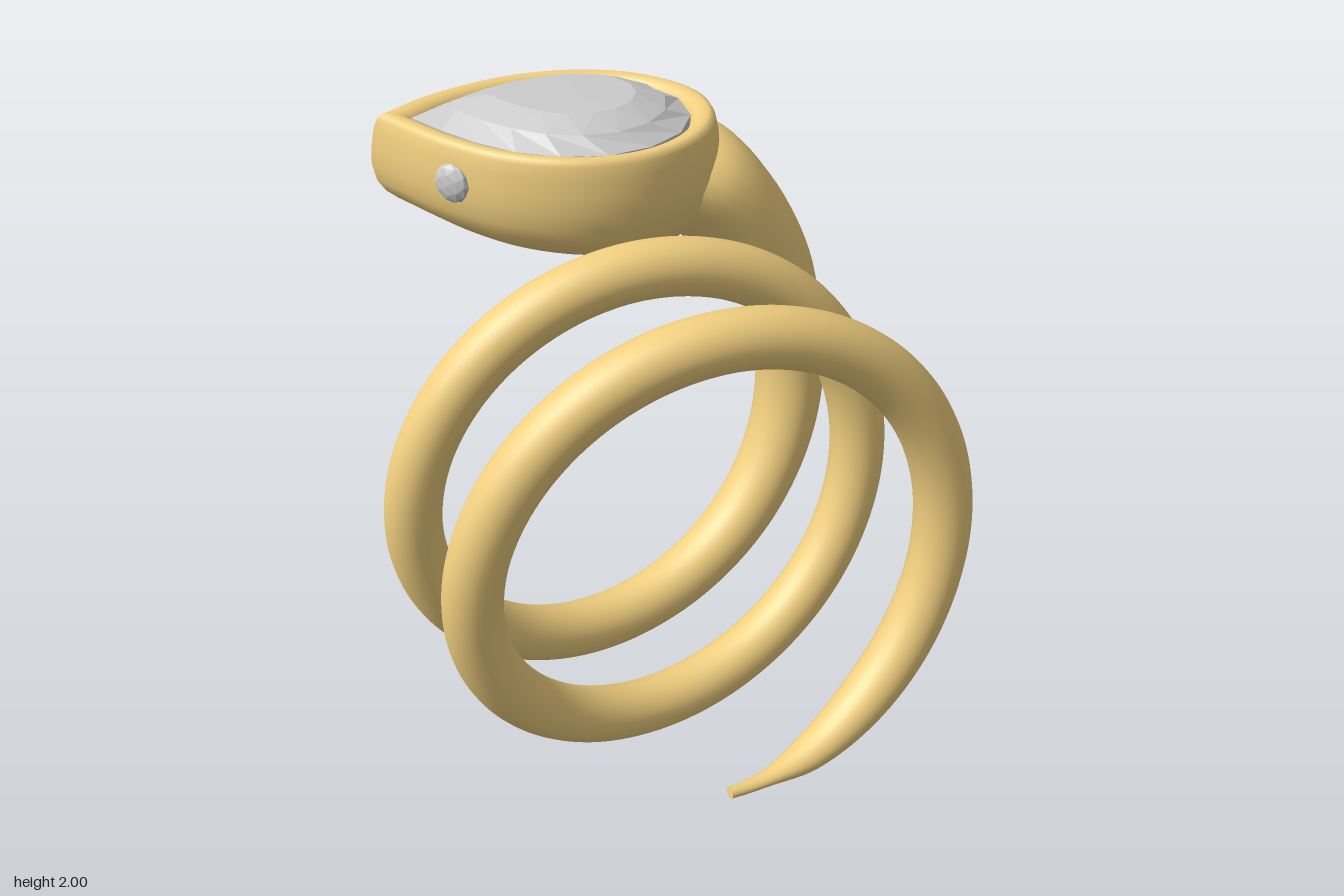
import * as THREE from 'three';

const gold = new THREE.MeshStandardMaterial({ color: 0xf2d080 });
const stone = new THREE.MeshStandardMaterial({ color: 0xcccccc, flatShading: true });

// Skin a list of equal-length rings of Vector3; closed rings wrap around.
function loft(rings, closed) {
  const n = rings[0].length, pos = [], idx = [];
  rings.forEach(r => r.forEach(p => pos.push(p.x, p.y, p.z)));
  for (let i = 0; i < rings.length - 1; i++) {
    for (let j = 0; j < (closed ? n : n - 1); j++) {
      const k = (j + 1) % n, a = i * n, b = a + n;
      idx.push(a + j, b + j, b + k, a + j, b + k, a + k);
    }
  }
  const g = new THREE.BufferGeometry();
  g.setAttribute('position', new THREE.Float32BufferAttribute(pos, 3));
  g.setIndex(idx);
  g.computeVertexNormals();
  return g;
}

function add(group, name, geometry, material) {
  const m = new THREE.Mesh(geometry, material);
  m.name = name;
  group.add(m);
  return m;
}

// Body stations: half turns from the bottom, radius, radial half, axial half, z
const stations = [
  [-0.035, 0.75, 0.018, 0.02, 0.92],
  [0.03, 0.755, 0.025, 0.032, 0.91],
  [0.1, 0.772, 0.055, 0.065, 0.885],
  [0.22, 0.775, 0.085, 0.09, 0.845],
  [0.4, 0.775, 0.095, 0.095, 0.795],
  [1, 0.775, 0.095, 0.095, 0.645],
  [2, 0.775, 0.095, 0.095, 0.39],
  [3, 0.775, 0.095, 0.095, 0.14],
  [3.6, 0.775, 0.095, 0.095, -0.005],
  [4, 0.785, 0.105, 0.1, -0.1],
  [4.25, 0.79, 0.112, 0.115, -0.165],
  [4.5, 0.805, 0.122, 0.135, -0.235],
  [4.6, 0.817, 0.128, 0.138, -0.247],
  [4.68, 0.845, 0.152, 0.16, -0.275],
  [4.76, 0.882, 0.182, 0.25, -0.365],
  [4.83, 0.915, 0.195, 0.3, -0.43],
  [4.88, 0.9, 0.15, 0.28, -0.45],
];

// Smooth (Hermite) interpolation between stations
function station(t) {
  let i = 0;
  while (i < stations.length - 2 && t > stations[i + 1][0]) i++;
  const A = stations[i], B = stations[i + 1], h = B[0] - A[0], u = (t - A[0]) / h;
  const slope = (k, c) => {
    const p = stations[Math.max(k - 1, 0)], q = stations[Math.min(k + 1, stations.length - 1)];
    return (q[c] - p[c]) / (q[0] - p[0]);
  };
  return [1, 2, 3, 4].map(c =>
    A[c] * (1 + 2 * u) * (1 - u) ** 2 + B[c] * u * u * (3 - 2 * u) +
    h * (slope(i, c) * u * (1 - u) ** 2 + slope(i + 1, c) * u * u * (u - 1)));
}

function bodyGeometry() {
  const rings = [], steps = 400, sides = 28;
  const t0 = stations[0][0], t1 = stations[stations.length - 1][0];
  const ring = (t, s) => {
    const [R, a, b, z] = station(t), th = t * Math.PI, pts = [];
    for (let j = 0; j < sides; j++) {
      const f = j / sides * Math.PI * 2, r = R + s * a * Math.cos(f);
      pts.push(new THREE.Vector3(-0.03 + r * Math.sin(th), 0.89 - r * Math.cos(th), z + s * b * Math.sin(f)));
    }
    return pts;
  };
  rings.push(ring(t0, 0), ring(t0, 1));
  for (let i = 0; i <= steps; i++) rings.push(ring(t0 + (t1 - t0) * i / steps, 1));
  rings.push(ring(t1, 0));
  return loft(rings, true);
}

// Teardrop plan of the head, from the tip round the back and front to the tip
const cx = 0.05, cz = -0.52;
const outline = new THREE.CatmullRomCurve3([
  [-0.57, -0.82], [-0.35, -0.915], [-0.05, -0.96], [0.22, -0.905], [0.42, -0.77],
  [0.52, -0.6], [0.54, -0.45], [0.48, -0.28], [0.34, -0.145], [0.12, -0.08],
  [-0.1, -0.125], [-0.3, -0.27], [-0.45, -0.5], [-0.57, -0.82],
].map(([x, z]) => new THREE.Vector3(x, 0, z)));

// Scaled copy of the plan at height y; tilt lowers it toward +x
const planRing = (n, s, y, tilt = 0, shift = 0, last = n) => {
  const pts = [];
  for (let j = 0; j <= last; j++) {
    const p = outline.getPointAt(Math.min((j + shift) / n, 1));
    pts.push(new THREE.Vector3(cx + (p.x - cx) * s, y - tilt * p.x, cz + (p.z - cz) * s));
  }
  return pts;
};

export function createModel() {
  const model = new THREE.Group();
  model.name = 'coiledSerpentRing';

  add(model, 'coiledBody', bodyGeometry(), gold);

  // Head: hollow underside, rounded wall, bezel rim and seat (scale, y, tilt)
  const profile = [
    [0, 1.73, 0], [0.58, 1.73, 0], [0.6, 1.7, 0], [0.62, 1.57, 0.06], [0.65, 1.545, 0.06],
    [0.71, 1.545, 0.06], [0.8, 1.565, 0.05], [0.88, 1.6, 0.04], [0.94, 1.64, 0.02],
    [0.98, 1.69, 0], [1, 1.75, 0], [0.995, 1.81, 0], [0.98, 1.87, 0], [0.96, 1.91, 0],
    [0.94, 1.926, 0], [0.91, 1.932, 0], [0.86, 1.93, 0], [0.82, 1.92, 0], [0.79, 1.9, 0],
    [0.78, 1.87, 0], [0, 1.87, 0],
  ];
  add(model, 'head', loft(profile.map(([s, y, t]) => planRing(96, s, y, t)), false), gold);

  // Faceted main stone
  const n = 16, gem = [
    [0, 1.88, 0], [0.79, 1.88, 0], [0.79, 1.915, 0], [0.63, 1.96, 0.5], [0.42, 1.998, 0], [0, 2, 0],
  ].map(([s, y, shift]) => planRing(n, s, y, 0, shift, n - 1));
  add(model, 'mainStone', loft(gem, true), stone);

  // Eyes
  [['leftEye', -0.425, -0.45, -0.85, 0.5], ['rightEye', -0.22, -0.935, -0.25, -0.97]].forEach(([name, x, z, nx, nz]) => {
    const eye = add(model, name, new THREE.IcosahedronGeometry(0.068, 1), stone);
    eye.scale.z = 0.42;
    eye.position.set(x, 1.8, z);
    eye.lookAt(x + nx, 1.8, z + nz);
  });

  return model;
}
